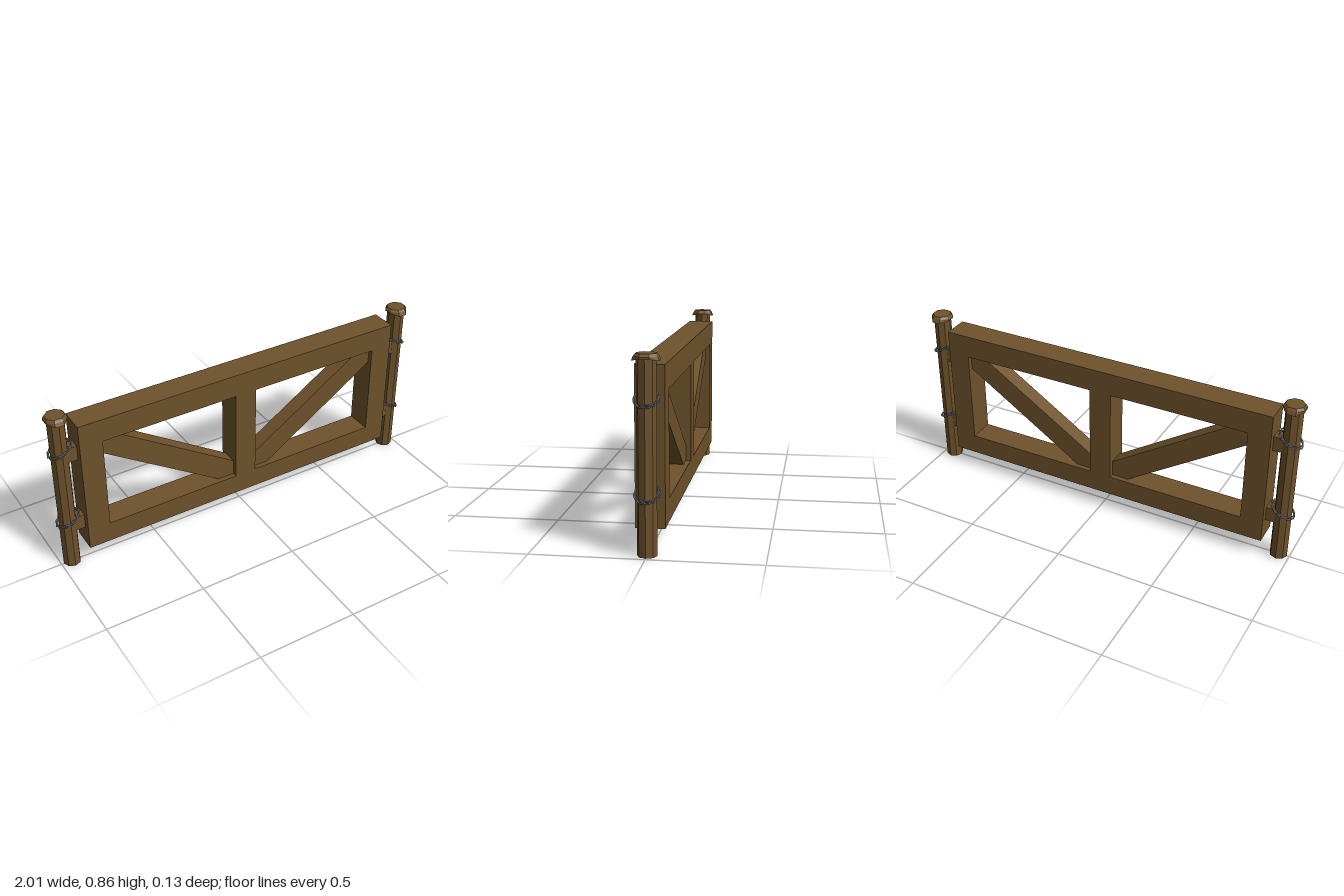
import * as THREE from 'three';

const wood = new THREE.MeshStandardMaterial({ color: 0x6e522b, flatShading: true });
wood.name = 'brown wood';
const wire = new THREE.MeshStandardMaterial({ color: 0x80868e });
wire.name = 'grey wire';

function add(parent, name, geometry, material = wood) {
  const mesh = new THREE.Mesh(geometry, material);
  mesh.name = name;
  parent.add(mesh);
  return mesh;
}

const outline = (points) => points.map(([x, y]) => new THREE.Vector2(x, y));

// Extrude a flat shape evenly to both sides of z = 0
function slab(shape, depth) {
  return new THREE.ExtrudeGeometry(shape, { depth, bevelEnabled: false }).translate(0, 0, -depth / 2);
}

// Closed tilted loop; a pair of these with opposite phase twist around each other
class WireLoop extends THREE.Curve {
  constructor(side, phase) {
    super();
    this.side = side;
    this.phase = phase;
  }
  getPoint(t, target = new THREE.Vector3()) {
    const a = t * Math.PI * 2;
    const twist = a * 5 + this.phase;
    const r = 0.0035 * Math.cos(twist);
    const x = (0.054 + r) * Math.cos(a);
    return target.set(
      this.side * x,
      -0.47 * x + 0.005 * Math.sin(twist),
      (0.051 + r) * Math.sin(a),
    );
  }
}

// Post cap: a thin bevelled disc whose rim droops at some corners
function capGeometry() {
  const profile = outline([[0, -0.012], [0.042, -0.012], [0.055, -0.016], [0.055, -0.006], [0.046, 0.006], [0, 0.006]]);
  const geometry = new THREE.LatheGeometry(profile, 8, Math.PI / 8);
  const p = geometry.attributes.position;
  for (let i = 0; i < p.count; i++) {
    const x = p.getX(i), z = p.getZ(i);
    if (Math.hypot(x, z) > 0.05 && p.getY(i) < -0.01 && Math.abs(z) > 0.04) {
      p.setXYZ(i, x, p.getY(i) - 0.008, z * 1.15);
    }
  }
  geometry.computeVertexNormals();
  return geometry;
}

export function createModel() {
  const model = new THREE.Group();
  model.name = 'woodenGate';

  // Frame with two openings
  const frame = new THREE.Shape(outline([[-0.87, 0.095], [0.87, 0.095], [0.87, 0.797], [-0.87, 0.797]]));
  for (const s of [-1, 1]) {
    frame.holes.push(new THREE.Path(outline([[s * 0.057, 0.2], [s * 0.757, 0.2], [s * 0.757, 0.68], [s * 0.057, 0.68]])));
  }
  add(model, 'gateFrame', slab(frame, 0.13));

  for (const s of [-1, 1]) {
    const label = s > 0 ? 'left' : 'right';

    // Diagonal brace cut to fit the corners of its opening
    const brace = new THREE.Shape(outline([
      [s * 0.757, 0.68], [s * 0.675, 0.68], [s * 0.057, 0.28],
      [s * 0.057, 0.2], [s * 0.145, 0.2], [s * 0.757, 0.6],
    ]));
    add(model, label + 'Brace', slab(brace, 0.08));

    // Post and cap
    const post = new THREE.Group();
    post.name = label + 'Post';
    post.position.x = s * 0.945;
    model.add(post);
    add(post, 'postShaft', new THREE.CylinderGeometry(0.043, 0.043, 0.845, 8)).position.y = 0.4225;
    add(post, 'postCap', capGeometry()).position.y = 0.849;

    // Hinge blocks tied to the post with twisted wire
    for (const y of [0.237, 0.637]) {
      add(post, 'hingeBlock', new THREE.BoxGeometry(0.075, 0.075, 0.06)).position.set(-s * 0.0425, y, 0);
      for (const phase of [0, Math.PI]) {
        const loop = new THREE.TubeGeometry(new WireLoop(s, phase), 64, 0.0035, 5, true);
        add(post, 'wireTie', loop, wire).position.set(-s * 0.003, y + 0.03, 0);
      }
    }
  }
  return model;
}
